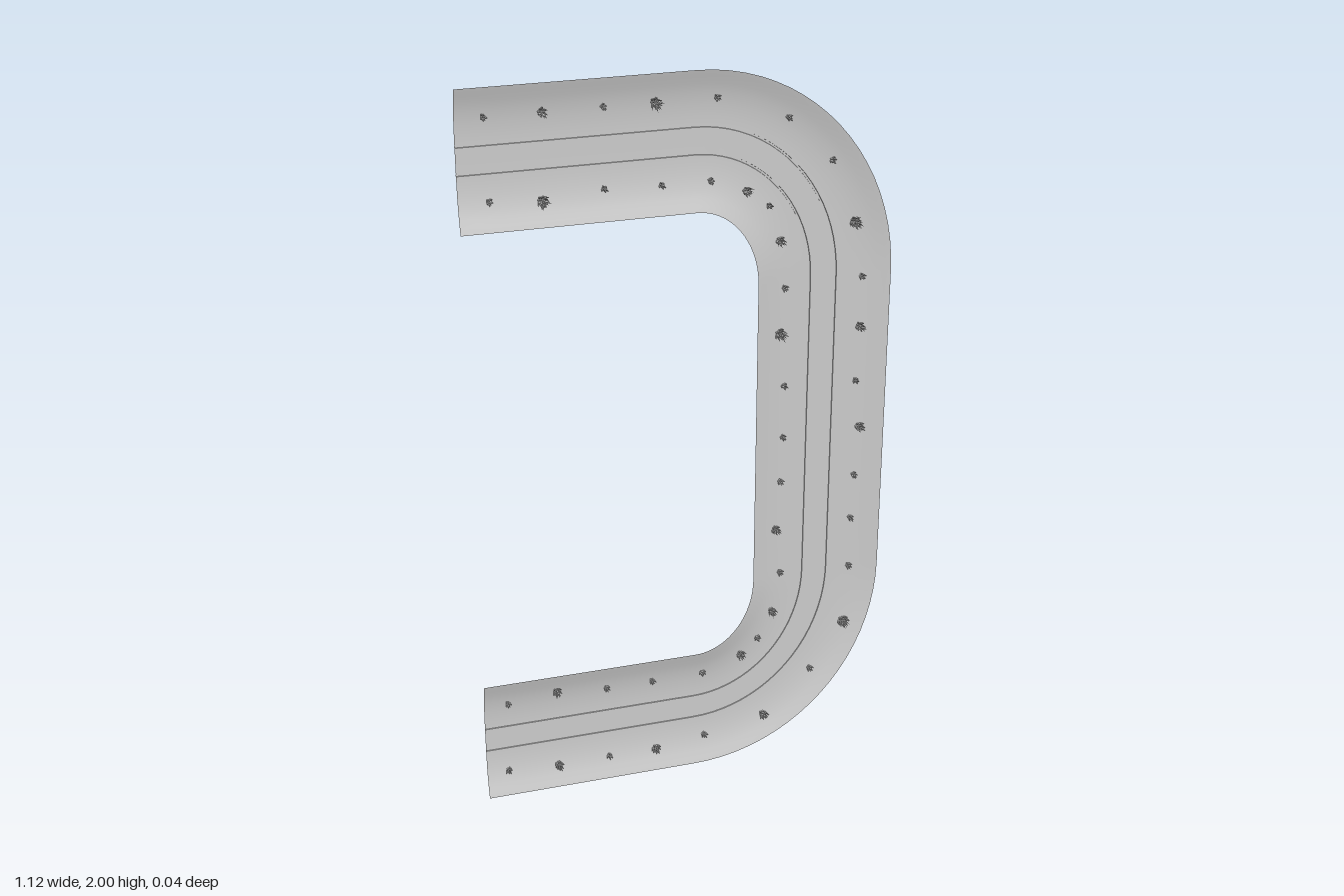
import * as THREE from 'three';
import { mergeGeometries, toCreasedNormals } from 'three/addons/utils/BufferGeometryUtils.js';

// Cross-section of the shallow channel: [offset from centre line, z]
const half = [[0.18, -0.002], [0.165, -0.006], [0.145, -0.012], [0.12, -0.0175], [0.09, -0.0215],
  [0.06, -0.0232], [0.038, -0.0235], [0.0375, -0.026], [0.0325, -0.026], [0.032, -0.0235]];
const profile = [...half.map(([u, z]) => [-u, z]), [0, -0.0235], ...[...half].reverse()];

// Stations along the centre line: base point and outward direction
function stations() {
  const list = [];
  const cx = 0.03, cy = 0.43, rx = 0.345, ry = 0.39, n = 20;
  const add = (x, y, nx, ny) => list.push({ x, y, nx, ny });
  for (let i = 0; i < 6; i++) add(-0.56 + (cx + 0.56) * i / 6, 1 + cy + ry, 0, 1);
  const corner = (from, to, y) => {
    for (let i = 0; i <= n; i++) {
      const a = THREE.MathUtils.lerp(from, to, i / n), c = Math.cos(a), s = Math.sin(a);
      add(cx + rx * c, y + ry * s, c, s);
    }
  };
  corner(Math.PI / 2, 0, 1 + cy);
  for (let i = 1; i < 6; i++) add(cx + rx, 1 + cy - 2 * cy * i / 6, 1, 0);
  corner(0, -Math.PI / 2, 1 - cy);
  for (let i = 1; i <= 6; i++) add(cx - (cx + 0.56) * i / 6, 1 - cy - ry, 0, -1);
  return list;
}

// Sweep the cross-section along the stations
function channelGeometry() {
  const path = stations(), m = profile.length, pos = [], index = [];
  for (const s of path) for (const [u, z] of profile) pos.push(s.x + s.nx * u, s.y + s.ny * u, z);
  for (let i = 0; i < path.length - 1; i++) {
    for (let j = 0; j < m - 1; j++) {
      const a = i * m + j, b = a + m;
      index.push(a, b, a + 1, b, b + 1, a + 1);
    }
  }
  const g = new THREE.BufferGeometry();
  g.setAttribute('position', new THREE.Float32BufferAttribute(pos, 3));
  g.setIndex(index);
  return toCreasedNormals(g, 0.6);
}

// Small seeded generator for natural variation
let seed = 7;
const rand = () => (seed = (seed * 16807) % 2147483647) / 2147483647;

// A clump of short splayed blades growing towards +z; size 0, 1 or 2
function tuftGeometry(size) {
  const count = [8, 14, 20][size], height = [0.022, 0.03, 0.036][size], spread = [0.007, 0.011, 0.014][size];
  const blades = [];
  for (let i = 0; i < count; i++) {
    const a = i * 2.4, r = Math.sqrt((i + 0.3) / count);
    const h = height * (1 - 0.4 * r) * (0.85 + 0.3 * rand());
    const blade = new THREE.ConeGeometry(0.0035, h, 4);
    blade.translate(0, h / 2, 0);
    blade.rotateX(Math.PI / 2);
    blade.rotateY(r * 0.45);
    blade.translate(r * spread * 0.7, 0, 0);
    blade.rotateZ(a);
    blades.push(blade);
  }
  return mergeGeometries(blades);
}

// Clumps: [x, y, size]
const outerTufts = [
  [-0.49, 1.925, 0], [-0.35, 1.925, 1], [-0.2, 1.925, 0], [-0.07, 1.925, 2], [0.085, 1.925, 0],
  [0.27, 1.86, 0], [0.39, 1.74, 0], [0.455, 1.57, 2], [0.48, 1.42, 0], [0.48, 1.28, 1],
  [0.475, 1.125, 0], [0.49, 0.99, 1], [0.48, 0.845, 0], [0.475, 0.715, 0], [0.475, 0.565, 0],
  [0.465, 0.39, 2], [0.37, 0.25, 0], [0.235, 0.12, 1], [0.06, 0.085, 0], [-0.08, 0.065, 1],
  [-0.215, 0.065, 0], [-0.36, 0.065, 1], [-0.5, 0.075, 0]];
const innerTufts = [
  [-0.485, 1.715, 0], [-0.355, 1.705, 2], [-0.2, 1.72, 0], [-0.055, 1.715, 0], [0.07, 1.715, 0],
  [0.165, 1.68, 1], [0.225, 1.635, 0], [0.255, 1.54, 1], [0.27, 1.41, 0], [0.26, 1.285, 2],
  [0.275, 1.135, 0], [0.275, 0.985, 0], [0.27, 0.855, 0], [0.26, 0.71, 1], [0.275, 0.575, 0],
  [0.255, 0.455, 1], [0.215, 0.375, 0], [0.165, 0.33, 1], [0.055, 0.29, 0], [-0.09, 0.29, 0],
  [-0.22, 0.29, 0], [-0.36, 0.305, 1], [-0.495, 0.29, 0]];

export function createModel() {
  seed = 7;
  const model = new THREE.Group();
  model.name = 'curvedTrack';

  // Track bed with raised banks and two narrow grooves
  const bed = new THREE.Mesh(channelGeometry(),
    new THREE.MeshStandardMaterial({ color: 0xcccccc, side: THREE.DoubleSide }));
  bed.name = 'trackBed';
  model.add(bed);

  // Grass clumps along both banks
  const grass = new THREE.MeshStandardMaterial({ color: 0xcccccc, flatShading: true });
  const shapes = [0, 1, 2].map(tuftGeometry);
  for (const [name, list] of [['outerGrass', outerTufts], ['innerGrass', innerTufts]]) {
    const row = new THREE.Group();
    row.name = name;
    for (const [x, y, size] of list) {
      const tuft = new THREE.Mesh(shapes[size], grass);
      tuft.name = 'grassTuft';
      tuft.position.set(x, y, -0.0185);
      tuft.rotation.z = rand() * Math.PI * 2;
      row.add(tuft);
    }
    model.add(row);
  }
  return model;
}
